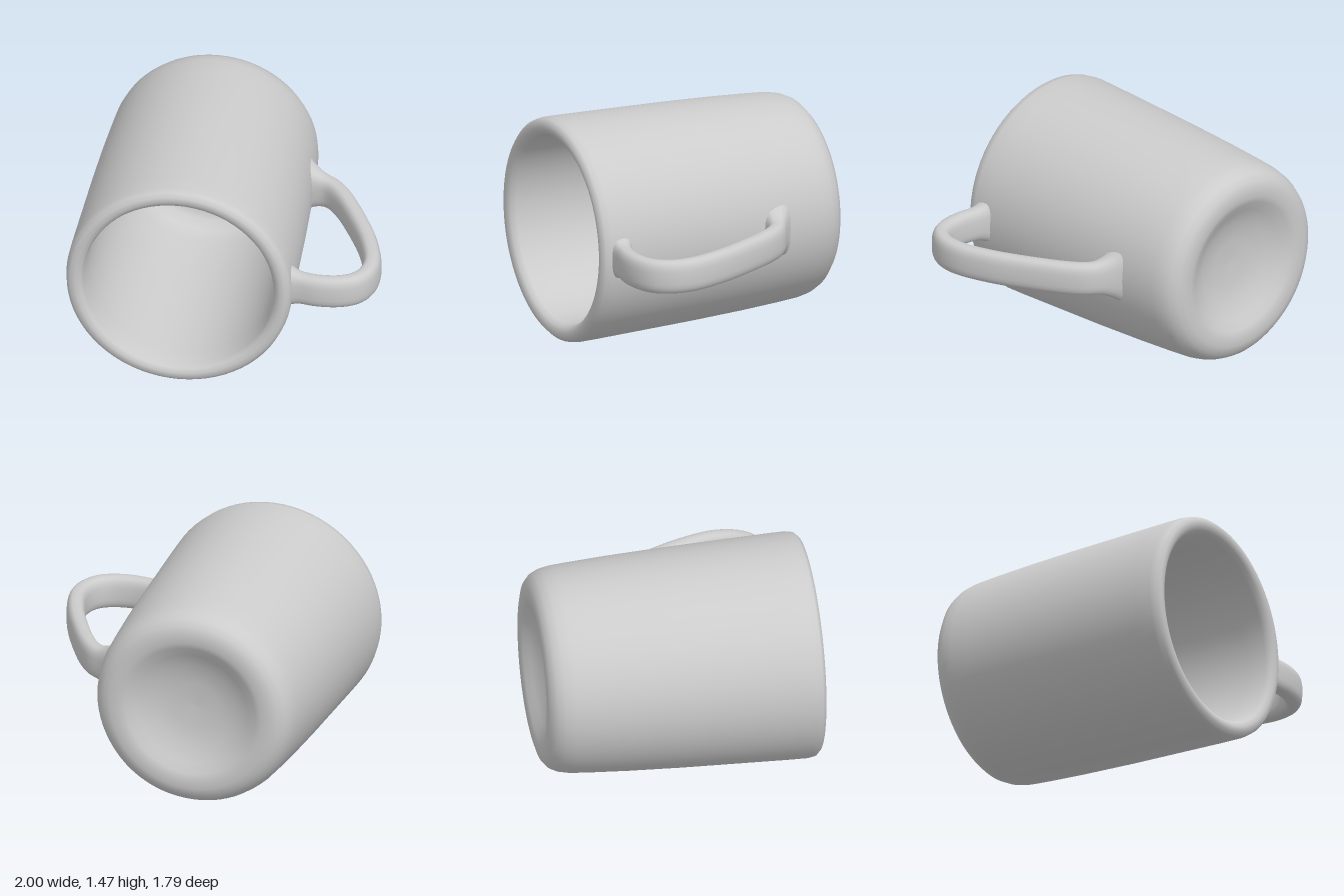
import * as THREE from 'three';

const grey = new THREE.MeshStandardMaterial({ color: 0xcccccc });
const CX = -0.27, CY = 0.735; // axis of the cup, lying along z

// Cup wall, rim, inside and dished base as one turned profile: [radius, z]
function makeBody() {
  const profile = [
    [0, -0.77], [0.15, -0.775], [0.28, -0.80], [0.38, -0.85], [0.44, -0.885], [0.48, -0.898],
    [0.54, -0.9], [0.59, -0.885], [0.63, -0.85], [0.655, -0.80], [0.67, -0.73], [0.68, -0.6],
    [0.695, -0.35], [0.71, 0], [0.722, 0.4], [0.731, 0.7], [0.733, 0.82], [0.725, 0.865], [0.70, 0.89],
    [0.665, 0.89], [0.635, 0.875], [0.618, 0.84], [0.612, 0.7], [0.608, 0.3], [0.602, -0.2],
    [0.595, -0.5], [0.575, -0.6], [0.535, -0.66], [0.47, -0.69], [0.3, -0.69], [0, -0.68],
  ].map(([r, z]) => new THREE.Vector2(r, z));
  const geo = new THREE.LatheGeometry(profile, 72);
  geo.rotateX(Math.PI / 2);
  const mesh = new THREE.Mesh(geo, grey);
  mesh.position.set(CX, CY, 0);
  mesh.name = 'cupBody';
  return mesh;
}

// Handle: rounded strap section swept along a curve, flaring where it joins the cup
function makeHandle() {
  const path = new THREE.CatmullRomCurve3([
    [0.36, -0.39], [0.46, -0.355], [0.55, -0.31], [0.63, -0.22], [0.77, 0.03], [0.88, 0.28], [0.935, 0.5],
    [0.92, 0.63], [0.865, 0.72], [0.77, 0.77], [0.63, 0.785], [0.5, 0.765], [0.38, 0.74],
  ].map(([x, z]) => new THREE.Vector3(x, 0.74, z)), false, 'centripetal');
  const along = 64, around = 24, pos = [], index = [];
  const soft = (v) => Math.sign(v) * Math.abs(v) ** 0.7;
  for (let i = 0; i <= along; i++) {
    const p = path.getPointAt(i / along), t = path.getTangentAt(i / along);
    const flare = Math.max(0, (0.54 - p.x) / 0.16) ** 2;
    const a = 0.06 + 0.045 * flare, b = 0.11 + 0.07 * flare;
    for (let j = 0; j < around; j++) {
      const th = (j / around) * Math.PI * 2;
      const u = a * soft(Math.cos(th)), v = b * soft(Math.sin(th));
      pos.push(p.x + t.z * u, p.y + v, p.z - t.x * u);
      if (i < along) {
        const k = i * around + j, n = i * around + ((j + 1) % around);
        index.push(k, n, k + around, n, n + around, k + around);
      }
    }
  }
  const geo = new THREE.BufferGeometry();
  geo.setAttribute('position', new THREE.Float32BufferAttribute(pos, 3));
  geo.setIndex(index);
  geo.computeVertexNormals();
  const mesh = new THREE.Mesh(geo, grey);
  mesh.name = 'handle';
  return mesh;
}

export function createModel() {
  const group = new THREE.Group();
  group.name = 'mug';
  group.add(makeBody(), makeHandle());
  return group;
}
